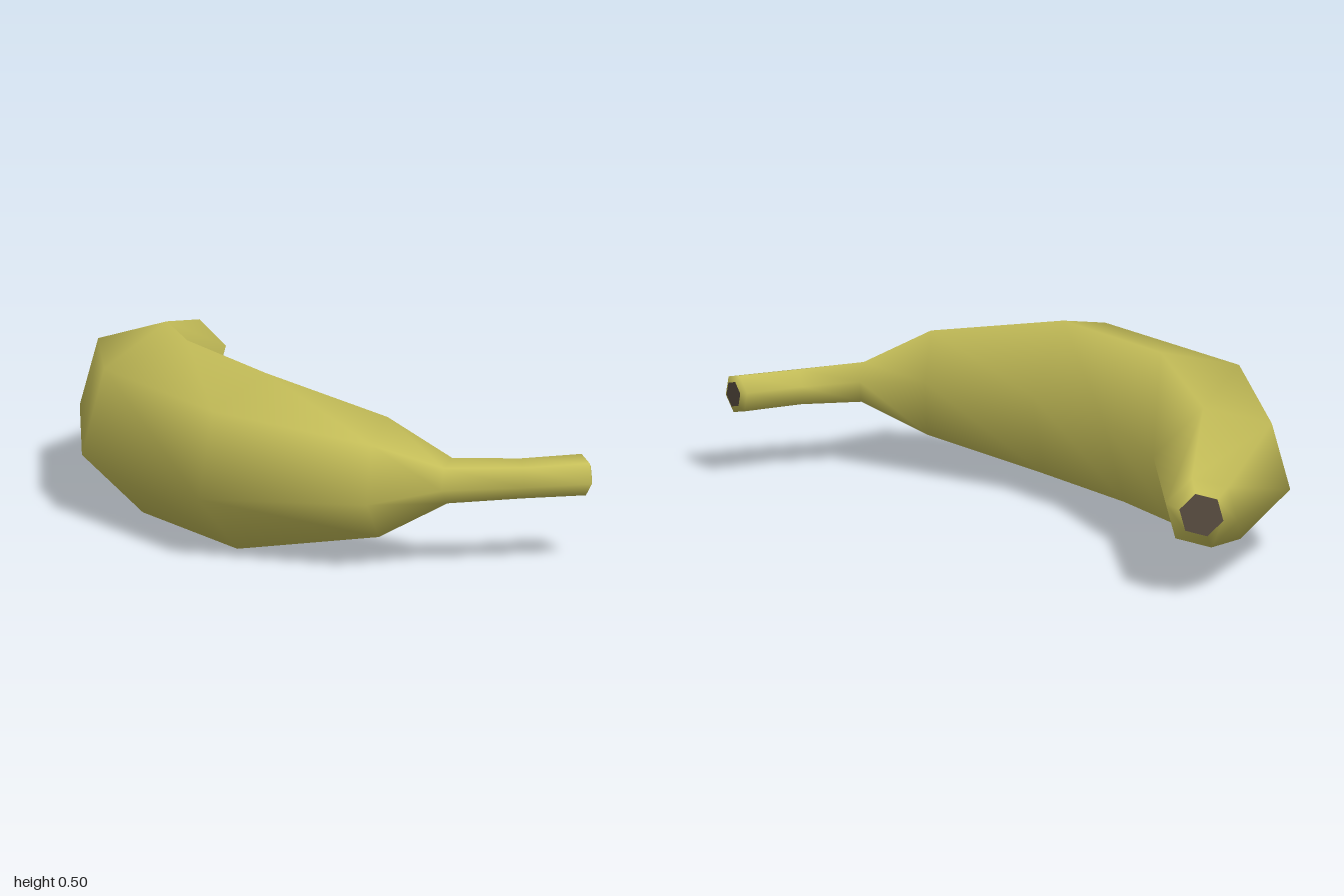
import * as THREE from 'three';

const SIDES = 6;
const TWIST = Math.PI / 12;

// Cross-sections from stem to tip: outer x, z, inner x, z, centre height
const SECTIONS = [
  [0.42, 0.98, 0.44, 0.905, 0.254],
  [0.405, 0.998, 0.432, 0.885, 0.253],
  [0.22, 0.92, 0.27, 0.82, 0.253],
  [0.01, 0.80, 0.12, 0.735, 0.253],
  [-0.20, 0.72, 0.07, 0.52, 0.254],
  [-0.48, 0.285, 0.0, 0.155, 0.25],
  [-0.42, -0.355, 0.05, -0.18, 0.25],
  [-0.10, -0.79, 0.20, -0.53, 0.254],
  [0.32, -0.99, 0.47, -0.845, 0.254],
  [0.39, -1.0, 0.48, -0.91, 0.262],
];

// Upright hexagon spanning from the outer to the inner curve
function ring([ox, oz, ix, iz, y]) {
  const k = 0.5 / Math.cos(TWIST);
  const dx = (ix - ox) * k, dz = (iz - oz) * k, r = Math.hypot(dx, dz);
  return Array.from({ length: SIDES }, (_, j) => {
    const a = TWIST + (j / SIDES) * Math.PI * 2;
    const c = Math.cos(a);
    return new THREE.Vector3((ox + ix) / 2 + dx * c, y + r * Math.sin(a), (oz + iz) / 2 + dz * c);
  });
}

function makeMesh(name, points, index, material) {
  const geometry = new THREE.BufferGeometry().setFromPoints(points);
  geometry.setIndex(index);
  geometry.computeVertexNormals();
  const mesh = new THREE.Mesh(geometry, material);
  mesh.name = name;
  return mesh;
}

// Flat end face
function endCap(name, points, flip, material) {
  const index = [];
  for (let j = 1; j < SIDES - 1; j++) index.push(0, flip ? j + 1 : j, flip ? j : j + 1);
  return makeMesh(name, points, index, material);
}

export function createModel() {
  const peel = new THREE.MeshStandardMaterial({ color: 0xc4bd58 });
  peel.name = 'yellow peel';
  const dark = new THREE.MeshStandardMaterial({ color: 0x5a4e42 });
  dark.name = 'dark brown';

  const group = new THREE.Group();
  group.name = 'banana';
  const rings = SECTIONS.map(ring);

  // Smooth skin lofted through all sections
  const index = [];
  for (let i = 0; i < rings.length - 1; i++) {
    for (let j = 0; j < SIDES; j++) {
      const a = i * SIDES + j, b = i * SIDES + ((j + 1) % SIDES);
      index.push(a, a + SIDES, b, b, a + SIDES, b + SIDES);
    }
  }
  group.add(makeMesh('peel', rings.flat(), index, peel));

  // Dark cut stem and blossom end
  group.add(endCap('stemEnd', rings[0], false, dark));
  group.add(endCap('blossomEnd', rings[rings.length - 1], true, dark));
  return group;
}
